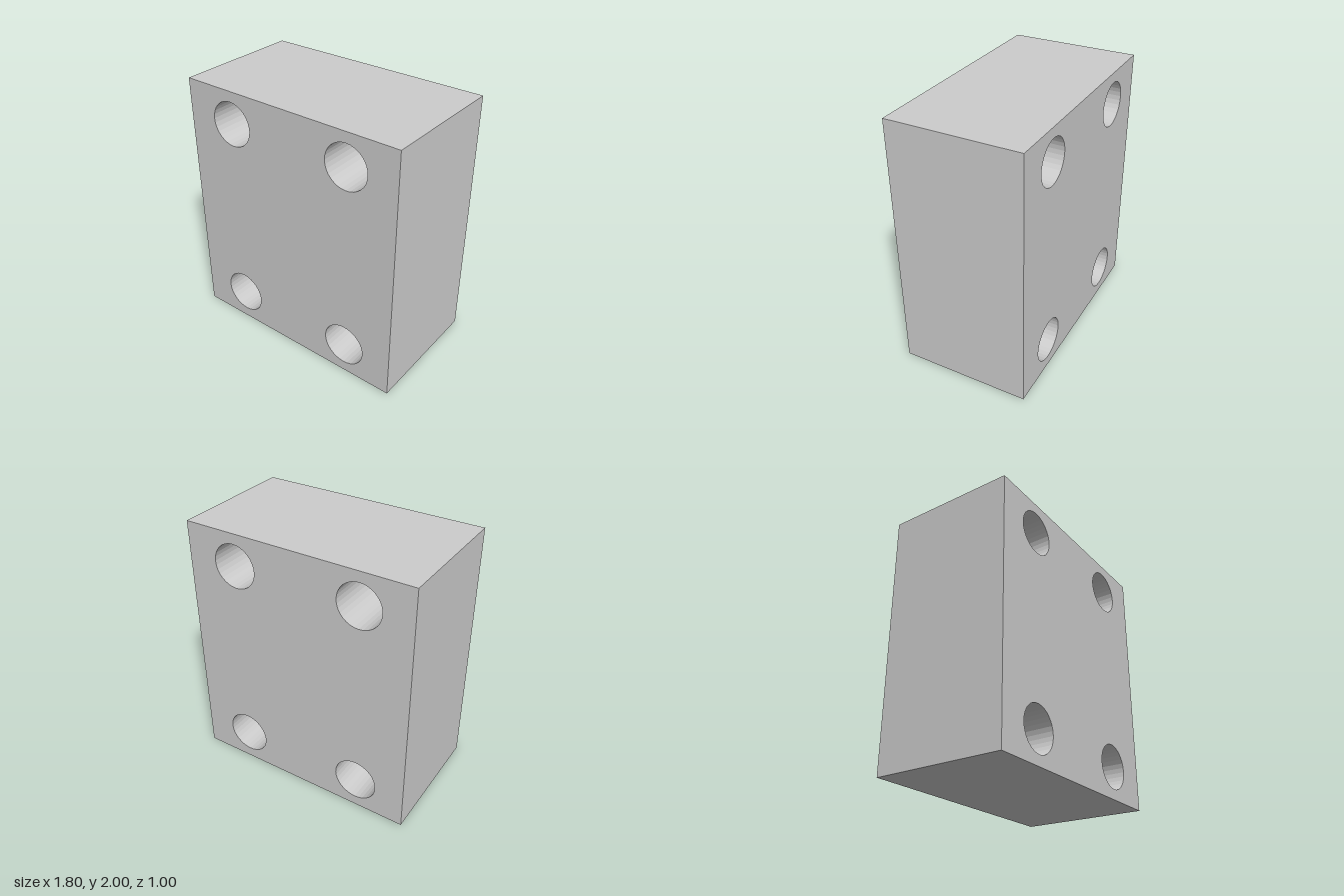
import * as THREE from 'three';

const WIDTH = 1.8, HEIGHT = 2, DEPTH = 1;
const HOLE_RADIUS = 0.17, HOLE_X = 0.5, HOLE_INSET = 0.25;

export function createModel() {
  const group = new THREE.Group();
  group.name = 'mountingBlock';

  // Rectangular front outline
  const w = WIDTH / 2;
  const outline = new THREE.Shape([
    new THREE.Vector2(-w, 0),
    new THREE.Vector2(w, 0),
    new THREE.Vector2(w, HEIGHT),
    new THREE.Vector2(-w, HEIGHT),
  ]);

  // Four through holes, one near each corner
  for (const x of [-HOLE_X, HOLE_X]) {
    for (const y of [HOLE_INSET, HEIGHT - HOLE_INSET]) {
      outline.holes.push(new THREE.Path().absarc(x, y, HOLE_RADIUS, 0, Math.PI * 2, true));
    }
  }

  // Solid block, 32 facets around each hole
  const geometry = new THREE.ExtrudeGeometry(outline, {
    depth: DEPTH, bevelEnabled: false, curveSegments: 16,
  });
  geometry.translate(0, 0, -DEPTH / 2);

  const material = new THREE.MeshStandardMaterial({ color: 0xcccccc, flatShading: true });
  const block = new THREE.Mesh(geometry, material);
  block.name = 'drilledBlock';
  group.add(block);
  return group;
}
